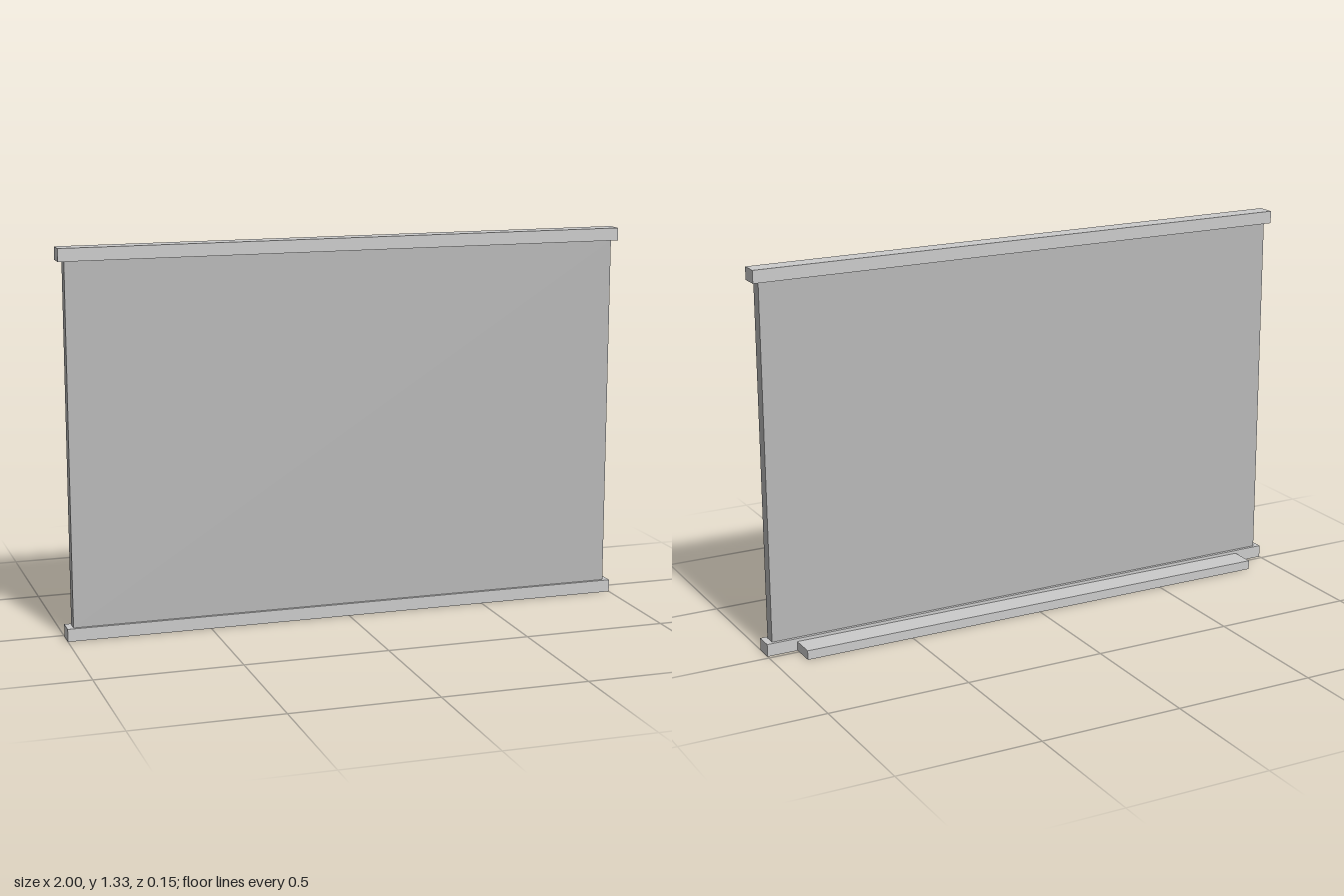
import * as THREE from 'three';

export function createModel() {
  const board = new THREE.Group();
  board.name = 'wallBoard';
  const frameMaterial = new THREE.MeshStandardMaterial({ color: 0xcccccc });
  const panelMaterial = new THREE.MeshStandardMaterial({ color: 0xb8b8b8 });

  // Box centred on x, given its width and its y and z extents
  function addBox(name, width, [y0, y1], [z0, z1], material) {
    const mesh = new THREE.Mesh(new THREE.BoxGeometry(width, y1 - y0, z1 - z0), material);
    mesh.position.set(0, (y0 + y1) / 2, (z0 + z1) / 2);
    mesh.name = name;
    board.add(mesh);
  }

  const railDepth = [0.013, 0.077];
  const railHeight = 0.044;
  const top = 1.334;

  // Writing surface held between the two rails
  addBox('panel', 1.956, [railHeight, top - railHeight], [0.024, 0.066], panelMaterial);

  // Frame rails
  addBox('bottomRail', 2, [0, railHeight], railDepth, frameMaterial);
  addBox('topRail', 2, [top - railHeight, top], railDepth, frameMaterial);

  // Shallow ledge behind the bottom rail
  addBox('ledge', 1.782, [0, 0.033], [-0.077, railDepth[0]], frameMaterial);

  return board;
}
